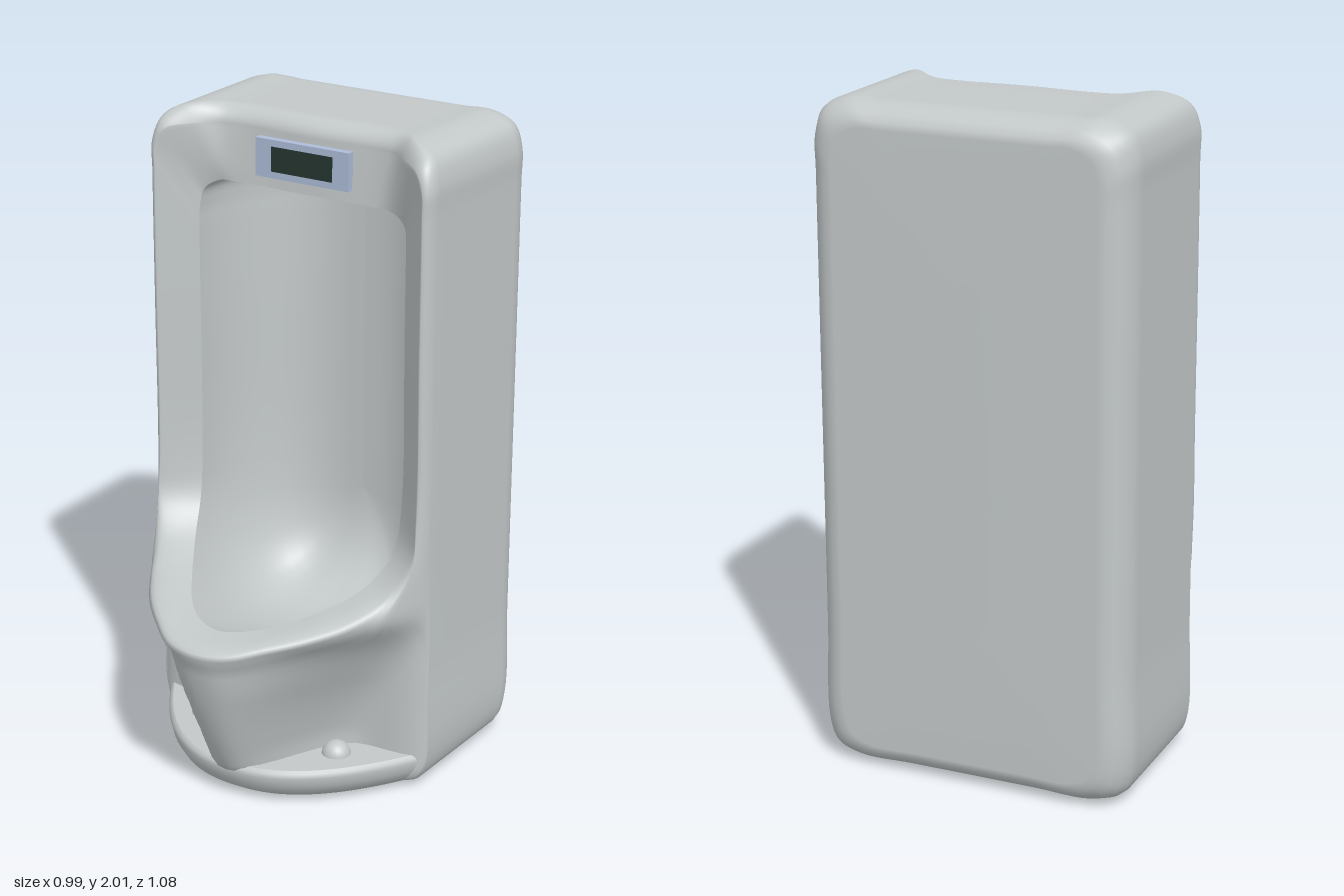
import * as THREE from 'three';

const V = (x, y, z = 0) => new THREE.Vector3(x, y, z);
const { clamp, lerp, smoothstep } = THREE.MathUtils;
const HALF = 84; // samples from top centre to bottom centre
const KEYS = 14; // key spans in the same half loop

// Smooth half loop through key points, going from top centre down the left side to bottom centre
function halfLoop(points) {
  const right = points.slice(1, -1).reverse().map(([x, y, z]) => V(-x, y, z));
  const curve = new THREE.CatmullRomCurve3([...points.map(p => V(...p)), ...right], true);
  return Array.from({ length: HALF + 1 }, (_, i) => curve.getPoint(i / HALF / 2));
}

// Joins half loops into a mirrored, closed, smooth skin
function loft(rings) {
  const pos = [], index = [], n = HALF * 2;
  for (const ring of rings) {
    for (let j = 0; j < n; j++) {
      const p = ring[j <= HALF ? j : n - j];
      const x = j === 0 || j === HALF ? 0 : p.x;
      pos.push(j <= HALF ? x : -x, p.y, p.z);
    }
  }
  for (let i = 0; i < rings.length - 1; i++) {
    for (let j = 0; j < n; j++) {
      const a = i * n + j, b = i * n + (j + 1) % n, c = a + n, d = b + n;
      index.push(a, c, b, b, c, d);
    }
  }
  const g = new THREE.BufferGeometry();
  g.setAttribute('position', new THREE.Float32BufferAttribute(pos, 3));
  g.setIndex(index);
  g.computeVertexNormals();
  return g;
}

// Outside of the bowl: a broad parabola at the rim, narrowing to a pedestal that sinks into the foot
function bowlFront(x, y) {
  const v = clamp((0.6 - y) / 0.45, 0, 1), h = Math.min(y, 0.54);
  const flat = 2 + 0.6 * smoothstep(v, 0, 0.5);
  const bell = Math.max(0, 1 - Math.abs(x / 0.483) ** flat) ** (1 + 14 * v ** 1.6);
  const wall = 0.035 * Math.max(0, 1 - Math.abs(x / 0.483) ** 10);
  const nose = (0.32 + 0.6 * h - 0.4 * h * h) * smoothstep(y, -0.02, 0.09);
  return lerp(wall, nose, bell);
}

// Half outline of the foot at one height, from back centre to front centre
function footRing(inset, y) {
  const X = 0.472 - inset, Z = 0.37 - inset, back = -0.01;
  return Array.from({ length: HALF + 1 }, (_, j) => {
    if (j <= 8) return V(X * j / 8, y, back);
    const u = Math.cos((j - 8) / (HALF - 8) * Math.PI / 2);
    return V(X * u, y, lerp(back, Z, 1 - u ** 2.2));
  });
}

export function createModel() {
  const model = new THREE.Group();
  const mat = (name, color) => {
    const m = new THREE.MeshStandardMaterial({ color });
    m.name = name;
    return m;
  };
  const ceramic = mat('grey ceramic', 0xc3c8c8);
  const frameBlue = mat('pale blue frame', 0xadbcd8);
  const darkGlass = mat('dark sensor glass', 0x263630);
  const add = (name, geometry, material, x = 0, y = 0, z = 0) => {
    const mesh = new THREE.Mesh(geometry, material);
    mesh.name = name;
    mesh.position.set(x, y, z);
    model.add(mesh);
  };

  // Full body outline, front crest and edge of the opening
  const outline = halfLoop([
    [0, 2, -0.13], [0.28, 2, -0.13], [0.39, 2, -0.04], [0.458, 1.968, -0.02], [0.483, 1.9, 0],
    [0.483, 1.8, 0], [0.483, 1.4, 0], [0.483, 0.85, 0], [0.483, 0.65, 0], [0.483, 0.4, 0],
    [0.483, 0.1, 0], [0.455, 0.03, 0], [0.38, 0, 0], [0.2, 0, 0], [0, 0, 0]]);
  const crest = halfLoop([
    [0, 1.945, -0.065], [0.285, 1.945, -0.065], [0.365, 1.945, -0.01], [0.43, 1.93, 0.037], [0.455, 1.88, 0.049],
    [0.457, 1.8, 0.05], [0.457, 1.4, 0.05], [0.457, 0.9, 0.05], [0.455, 0.75, 0.07], [0.42, 0.645, 0.135],
    [0.36, 0.595, 0.245], [0.28, 0.572, 0.36], [0.19, 0.555, 0.45], [0.1, 0.535, 0.517], [0, 0.53, 0.54]]);
  const opening = halfLoop([
    [0, 1.78, -0.055], [0.24, 1.78, -0.055], [0.3, 1.775, -0.055], [0.345, 1.745, -0.045], [0.357, 1.69, -0.037],
    [0.358, 1.62, -0.035], [0.358, 1.4, -0.035], [0.358, 0.9, -0.035], [0.35, 0.76, -0.01], [0.325, 0.685, 0.05],
    [0.28, 0.635, 0.13], [0.22, 0.605, 0.225], [0.15, 0.585, 0.32], [0.075, 0.575, 0.385], [0, 0.57, 0.41]]);
  // 0 around the upper housing, 1 around the bowl
  const lower = j => smoothstep(j / HALF * KEYS, 7, 9);

  // Flat back with rounded edges
  const rings = [outline.map(p => V(0, clamp(p.y, 0.5, 1.5), -0.54))];
  for (let k = 5; k >= 0; k--) {
    const a = k / 5 * Math.PI / 2, s = 1 - Math.cos(a);
    rings.push(outline.map(p => V(
      p.x * 1.015 * (1 - 0.18 * s), 1 + (p.y - 1) * (1 - 0.07 * s), -0.43 - 0.11 * Math.sin(a))));
  }
  rings.push(outline);

  // Rolled front edge above, bowl underside below
  for (let k = 1; k <= 20; k++) {
    const s = k / 20, a = s * Math.PI / 2;
    rings.push(outline.map((p, j) => {
      const q = crest[j], w = lower(j);
      const m = lerp(1 - Math.cos(a), s ** 1.3, w);
      const x = lerp(p.x, q.x, m), y = lerp(p.y, q.y, m);
      const roll = lerp(p.z, q.z, Math.sin(a));
      return V(x, y, k === 20 ? q.z : lerp(roll, bowlFront(x, y), w));
    }));
  }

  // Rim between crest and opening, with a softly rounded lip on the bowl
  for (const s of [0.06, 0.15, 0.3, 0.5, 0.7, 0.85, 0.95, 1]) {
    const lip = 0.016 * Math.sin(Math.PI * Math.sqrt(s));
    rings.push(crest.map((p, j) => p.clone().lerp(opening[j], s).add(V(0, lip * lower(j), 0))));
  }
  add('housingAndBowl', loft(rings), ceramic);

  // Hollow with a curved back wall and sunken bowl floor
  const hollow = [];
  for (let k = 0; k <= 18; k++) {
    const a = k / 18 * Math.PI / 2;
    const inward = 1 - Math.cos(a) ** 0.8, back = Math.sin(a);
    hollow.push(opening.map(p => {
      const dip = 0.2 * Math.sin(2 * a) * (1 - smoothstep(p.y, 0.57, 0.85));
      return V(p.x * (1 - inward), lerp(p.y, clamp(p.y, 0.74, 1.75), inward) - dip, lerp(p.z, -0.4, back));
    }));
  }
  add('hollow', loft(hollow), ceramic);

  // Foot slab: rounded underneath, crisp on top
  const foot = [
    [0.2, 0], [0.085, 0], [0.06, 0.006], [0.028, 0.027], [0.008, 0.058], [0, 0.088],
    [0.004, 0.102], [0.013, 0.11], [0.016, 0.11], [0.2, 0.11]].map(([inset, y]) => footRing(inset, y));
  const middle = y => footRing(0, y).map(p => V(0, y, clamp(p.z, 0, 0.1)));
  add('footSlab', loft([middle(0), ...foot, middle(0.11)]), ceramic);

  // Domed bolt caps on the foot
  for (const side of [-1, 1]) {
    add(side > 0 ? 'leftBoltCap' : 'rightBoltCap',
      new THREE.SphereGeometry(0.045, 20, 10, 0, Math.PI * 2, 0, Math.PI / 2), ceramic, side * 0.24, 0.105, 0.13);
  }

  // Flush sensor on the header
  add('sensorFrame', new THREE.BoxGeometry(0.32, 0.115, 0.024), frameBlue, 0, 1.873, -0.053);
  add('sensorWindow', new THREE.BoxGeometry(0.21, 0.075, 0.002), darkGlass, 0, 1.873, -0.041);
  return model;
}
